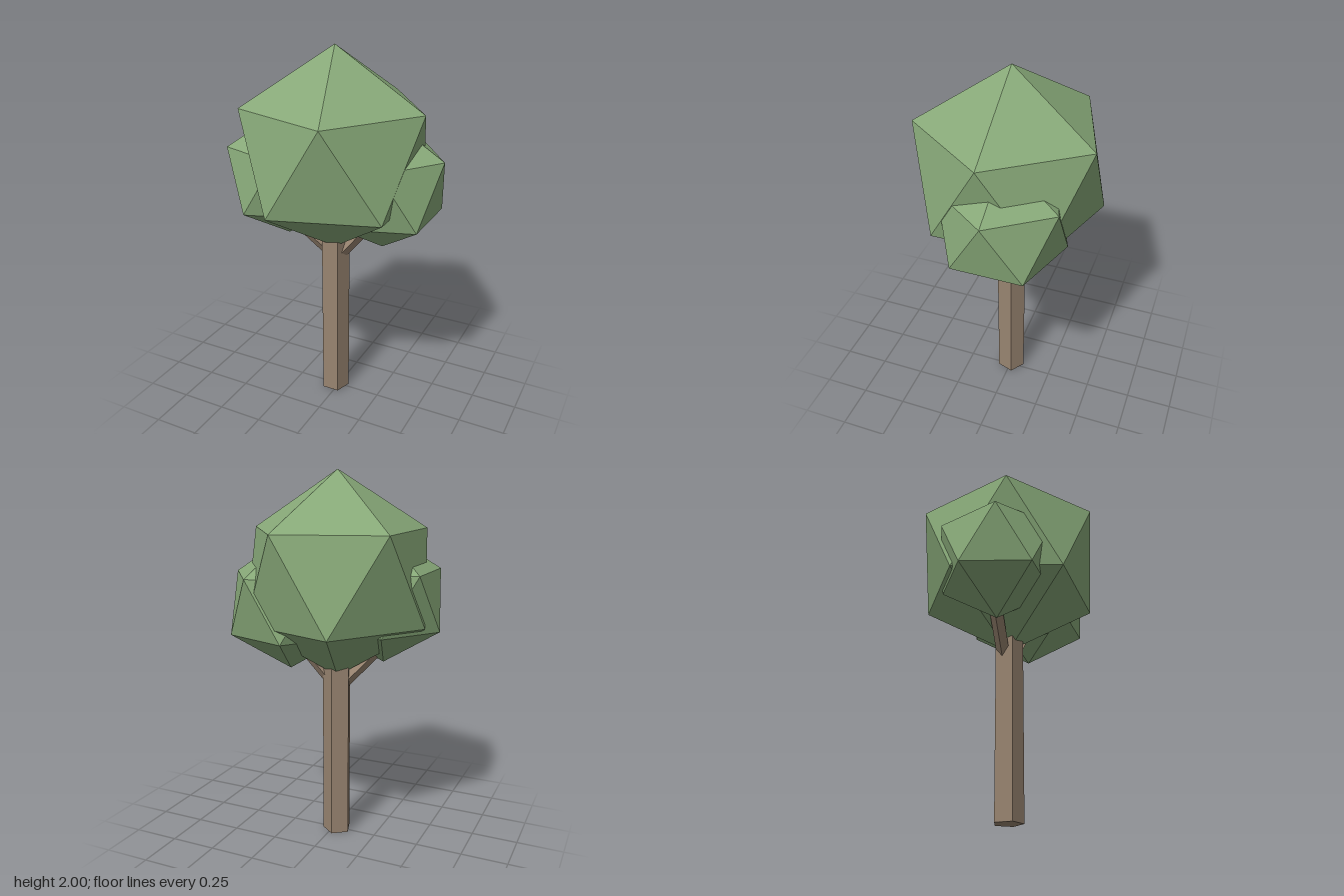
import * as THREE from 'three';

export function createModel() {
  const tree = new THREE.Group();
  tree.name = 'tree';

  const leaf = new THREE.MeshStandardMaterial({ color: 0x87a878, flatShading: true });
  leaf.name = 'leaf green';
  const bark = new THREE.MeshStandardMaterial({ color: 0x988470, flatShading: true });
  bark.name = 'bark brown';

  const add = (name, geometry, material) => {
    const mesh = new THREE.Mesh(geometry, material);
    mesh.name = name;
    tree.add(mesh);
    return mesh;
  };

  // Foliage: icosahedra standing on a corner, one upper-ring corner towards +x
  const tilt = -Math.atan(2 / (1 + Math.sqrt(5)));
  const foliage = (name, radius, x, y, z) =>
    add(name, new THREE.IcosahedronGeometry(radius, 0).rotateZ(tilt), leaf).position.set(x, y, z);
  foliage('mainFoliage', 0.545, -0.022, 1.455, 0);
  foliage('leftFoliage', 0.36, 0.235, 1.3, -0.052);
  foliage('rightFoliage', 0.345, -0.25, 1.335, 0.1);

  // Five-sided trunk with a flat side to the front
  add('trunk', new THREE.CylinderGeometry(0.08, 0.08, 1.2, 5).rotateY(Math.PI), bark)
    .position.set(-0.023, 0.6, 0);

  // Slim branches reaching from the trunk into the side foliage
  const branch = (name, from, to) => {
    const start = new THREE.Vector3(...from);
    const end = new THREE.Vector3(...to);
    const geometry = new THREE.CylinderGeometry(0.035, 0.035, start.distanceTo(end), 4)
      .rotateX(Math.PI / 2);
    const mesh = add(name, geometry, bark);
    mesh.position.copy(start).add(end).multiplyScalar(0.5);
    mesh.lookAt(end);
  };
  branch('leftBranch', [-0.01, 0.85, 0.01], [0.2, 1.11, -0.045]);
  branch('rightBranch', [-0.035, 0.85, -0.015], [-0.25, 1.09, 0.085]);

  return tree;
}
